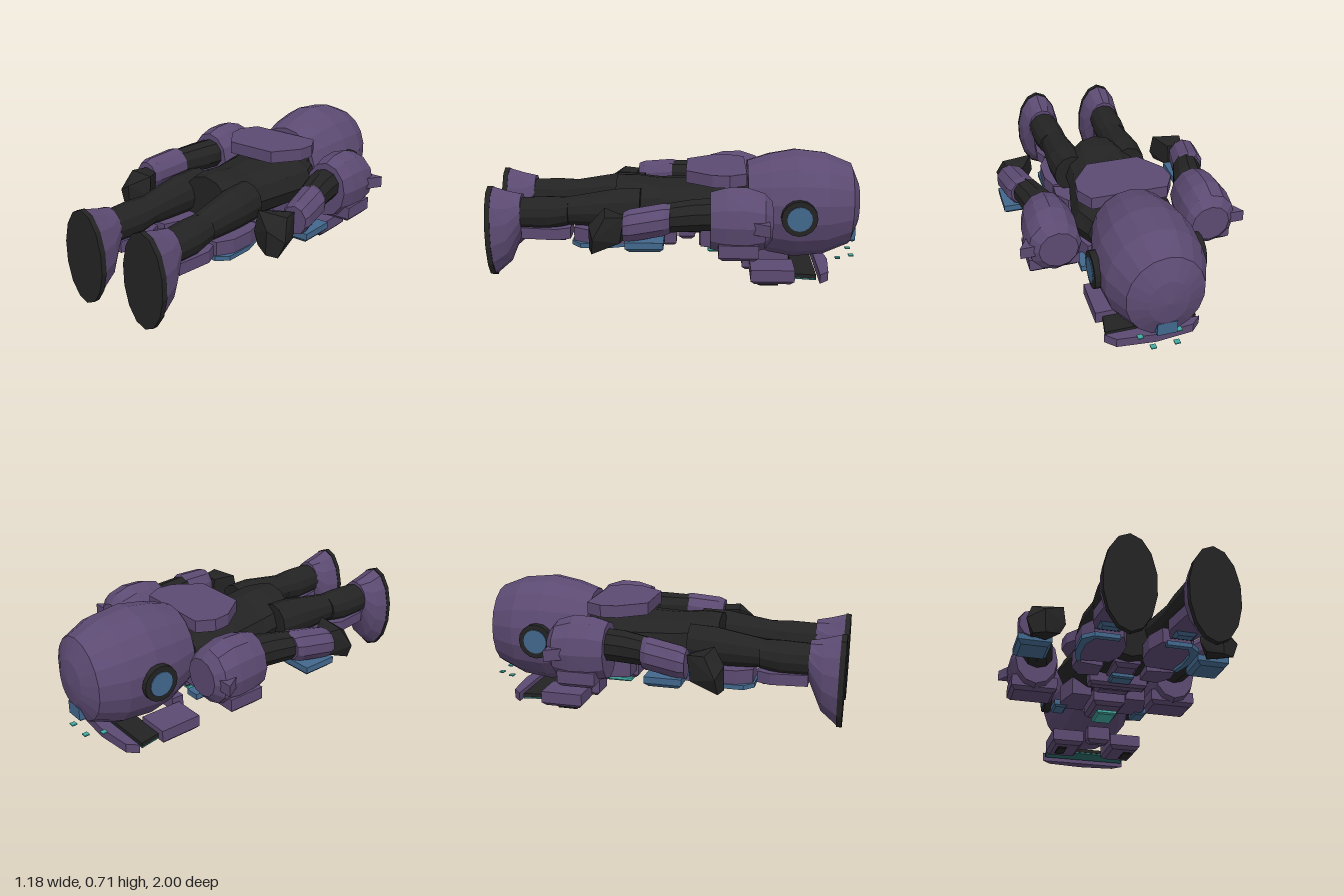
import * as THREE from 'three';
import { ConvexGeometry } from 'three/addons/geometries/ConvexGeometry.js';

function mat(name, color) {
  const m = new THREE.MeshStandardMaterial({ color, flatShading: true });
  m.name = name;
  return m;
}

export function createModel() {
  const root = new THREE.Group();
  root.name = 'armouredFigure';
  const purple = mat('purple armour', 0x5c4a72);
  const dark = mat('black suit', 0x232323);
  const blue = mat('blue trim', 0x42678c);
  const teal = mat('teal light', 0x43aaa2);
  const visorTeal = mat('dark teal visor', 0x2b6868);

  function add(name, geo, material) {
    const mesh = new THREE.Mesh(geo, material);
    mesh.name = name;
    root.add(mesh);
    return mesh;
  }

  // Elliptical sections along z, each [centreX, centreY, z, radiusX, radiusY]
  function loft(name, material, sections, sides = 12) {
    const n = sections.length - 1;
    const g = new THREE.CylinderGeometry(1, 1, 1, sides, n);
    g.rotateX(Math.PI / 2);
    const p = g.attributes.position;
    for (let i = 0; i < p.count; i++) {
      const [cx, cy, z, rx, ry] = sections[Math.round((p.getZ(i) + 0.5) * n)];
      p.setXYZ(i, cx + p.getX(i) * rx, cy + p.getY(i) * ry, z);
    }
    g.computeVertexNormals();
    return add(name, g, material);
  }

  // Outline of [x, z] points, extruded from y0 to y1
  function plate(name, material, pts, y0, y1) {
    const shape = new THREE.Shape(pts.map(([x, z]) => new THREE.Vector2(x, -z)));
    const g = new THREE.ExtrudeGeometry(shape, { depth: y1 - y0, bevelEnabled: false });
    g.rotateX(-Math.PI / 2);
    g.translate(0, y0, 0);
    return add(name, g, material);
  }

  // Block with its lower rim drawn in, for bevelled armour
  function block(name, material, x0, x1, y0, y1, z0, z1, bevel = 0.02) {
    const pts = [];
    for (const [y, b] of [[y0, bevel], [y0 + bevel, 0], [y1, 0]])
      for (const x of [x0 + b, x1 - b])
        for (const z of [z0 + b, z1 - b]) pts.push(new THREE.Vector3(x, y, z));
    return add(name, new ConvexGeometry(pts), material);
  }

  // Head and neck
  loft('head', purple, [
    [0, 0.41, -1.0, 0.001, 0.001], [0, 0.41, -0.985, 0.1, 0.12], [0, 0.41, -0.94, 0.195, 0.225],
    [0, 0.41, -0.8, 0.255, 0.282], [0, 0.41, -0.64, 0.265, 0.3], [0, 0.41, -0.5, 0.24, 0.275],
    [0, 0.42, -0.38, 0.205, 0.225]], 18);
  loft('neck', dark, [[0, 0.41, -0.42, 0.19, 0.18], [0, 0.41, -0.3, 0.19, 0.15]]);
  block('foreheadCrest', blue, -0.05, 0.05, 0.2, 0.28, -0.98, -0.92, 0.01);

  // Torso and back plate
  loft('torso', dark, [
    [0, 0.4, -0.37, 0.22, 0.14], [0, 0.4, -0.26, 0.275, 0.155], [0, 0.4, -0.1, 0.245, 0.15],
    [0, 0.4, 0.1, 0.205, 0.145], [0, 0.41, 0.22, 0.2, 0.15], [0, 0.41, 0.33, 0.155, 0.148]]);
  plate('backPlate', purple, [[-0.2, -0.37], [0.2, -0.37], [0.25, -0.28], [0.24, -0.19],
    [0.14, -0.05], [-0.14, -0.05], [-0.24, -0.19], [-0.25, -0.28]], 0.555, 0.62);

  // Centre of the chest, belly and belt
  block('chestCentre', purple, -0.09, 0.09, 0.17, 0.28, -0.36, -0.12);
  block('chestLight', teal, -0.055, 0.055, 0.133, 0.155, -0.32, -0.17, 0.008);
  block('bellyPlate', purple, -0.1, 0.1, 0.22, 0.3, -0.1, -0.01);
  block('belt', purple, -0.16, 0.16, 0.205, 0.29, 0.0, 0.075, 0.015);
  block('buckle', blue, -0.06, 0.06, 0.21, 0.235, 0.08, 0.165, 0.008);
  block('crotchPlate', purple, -0.07, 0.07, 0.235, 0.3, 0.08, 0.26);

  // Face mask: brow, visor and chin
  plate('brow', purple, [[-0.25, -0.77], [-0.2, -0.82], [0, -0.84], [0.2, -0.82], [0.25, -0.77]], 0.03, 0.08);
  plate('visorBacking', dark, [[-0.24, -0.75], [0.24, -0.75], [0.22, -0.63], [-0.22, -0.63]], 0.055, 0.075);
  plate('visor', visorTeal, [[-0.24, -0.75], [0.24, -0.75], [0.22, -0.63], [-0.22, -0.63]], 0.046, 0.054);
  block('chin', purple, -0.065, 0.065, 0.03, 0.125, -0.43, -0.36);

  for (const s of [1, -1]) {
    const side = s > 0 ? 'left' : 'right';
    const sLoft = (name, m, sec, n) => loft(side + name, m, sec.map(([x, ...r]) => [x * s, ...r]), n);
    const sPlate = (name, m, pts, y0, y1) => plate(side + name, m, pts.map(([x, z]) => [x * s, z]), y0, y1);
    const sBlock = (name, m, x0, x1, ...r) =>
      block(side + name, m, Math.min(x0 * s, x1 * s), Math.max(x0 * s, x1 * s), ...r);

    // Ear discs
    for (const [name, m, r, x] of [['EarRing', dark, 0.095, 0.263], ['EarDisc', blue, 0.066, 0.268]]) {
      const g = new THREE.CylinderGeometry(r, r, 0.04, 16);
      g.rotateZ(Math.PI / 2);
      add(side + name, g, m).position.set(x * s, 0.4, -0.645);
    }

    // Cheeks and small lamps
    sBlock('Cheek', purple, 0.08, 0.258, 0.02, 0.105, -0.635, -0.4);
    sBlock('CheekVent', dark, 0.17, 0.22, 0.004, 0.012, -0.55, -0.44, 0.002);
    for (const [x, z] of [[0.06, -0.96], [0.1, -0.88]])
      sBlock('Lamp', teal, x - 0.014, x + 0.014, 0.122, 0.13, z - 0.014, z + 0.014, 0.002);

    // Chest plate and collar clip
    sPlate('ChestPlate', purple, [[0.1, -0.36], [0.22, -0.36], [0.25, -0.28], [0.21, -0.13], [0.1, -0.13]], 0.22, 0.32);
    sBlock('CollarClip', blue, 0.2, 0.275, 0.21, 0.25, -0.43, -0.31, 0.01);

    // Shoulder, with guard and fin
    sLoft('Shoulder', purple, [
      [0.4, 0.43, -0.49, 0.1, 0.1], [0.41, 0.43, -0.45, 0.135, 0.145], [0.41, 0.43, -0.36, 0.142, 0.175],
      [0.41, 0.43, -0.26, 0.135, 0.172], [0.41, 0.43, -0.18, 0.12, 0.15]]);
    sPlate('ShoulderFin', purple, [[0.42, -0.47], [0.59, -0.47], [0.5, -0.32]], 0.4, 0.46);
    sBlock('ShoulderGuard', purple, 0.28, 0.54, 0.255, 0.34, -0.42, -0.22);

    // Arm and hand
    sLoft('UpperArm', dark, [[0.4, 0.46, -0.22, 0.09, 0.085], [0.42, 0.46, -0.1, 0.088, 0.085],
      [0.46, 0.455, 0.05, 0.075, 0.075]], 10);
    sLoft('Forearm', purple, [[0.465, 0.455, 0.02, 0.078, 0.075], [0.472, 0.452, 0.05, 0.09, 0.085],
      [0.505, 0.43, 0.22, 0.082, 0.085], [0.51, 0.425, 0.25, 0.07, 0.075]], 10);
    sBlock('ForearmPlate', blue, 0.4, 0.58, 0.312, 0.365, 0.05, 0.24);
    const hand = [[0.43, 0.46, 0.26], [0.51, 0.47, 0.25], [0.44, 0.33, 0.26], [0.52, 0.34, 0.27],
      [0.37, 0.48, 0.36], [0.53, 0.475, 0.34], [0.36, 0.37, 0.38], [0.39, 0.31, 0.39],
      [0.565, 0.37, 0.4], [0.53, 0.285, 0.41], [0.475, 0.42, 0.43], [0.47, 0.29, 0.43]];
    add(side + 'Hand', new ConvexGeometry(hand.map(([x, y, z]) => new THREE.Vector3(x * s, y, z))), dark);

    // Leg and boot
    sLoft('Thigh', dark, [[0.165, 0.42, 0.19, 0.1, 0.11], [0.175, 0.42, 0.33, 0.1, 0.105],
      [0.18, 0.405, 0.59, 0.077, 0.075]]);
    sLoft('Shin', dark, [[0.185, 0.405, 0.57, 0.085, 0.075], [0.19, 0.395, 0.68, 0.092, 0.09],
      [0.195, 0.395, 0.83, 0.085, 0.085]]);
    sLoft('Boot', purple, [[0.198, 0.395, 0.82, 0.085, 0.105], [0.2, 0.32, 0.89, 0.115, 0.195],
      [0.2, 0.295, 0.975, 0.127, 0.245]], 14);
    sLoft('Sole', dark, [[0.2, 0.293, 0.972, 0.129, 0.25], [0.2, 0.293, 1.0, 0.127, 0.25]], 14);

    // Hip, thigh, knee and shin armour
    sPlate('HipPlate', purple, [[0.12, 0.08], [0.22, 0.06], [0.275, 0.14], [0.27, 0.22], [0.12, 0.2]], 0.25, 0.33);
    sPlate('ThighPlate', purple, [[0.1, 0.24], [0.27, 0.23], [0.3, 0.33], [0.295, 0.46],
      [0.25, 0.54], [0.1, 0.54], [0.06, 0.44], [0.06, 0.32]], 0.255, 0.335);
    sPlate('ThighTrim', blue, [[0.25, 0.25], [0.275, 0.25], [0.305, 0.35], [0.305, 0.5],
      [0.25, 0.55], [0.12, 0.55], [0.12, 0.52], [0.24, 0.52], [0.27, 0.45], [0.27, 0.34]], 0.238, 0.262);
    sBlock('KneeTrim', blue, 0.13, 0.25, 0.255, 0.3, 0.57, 0.65);
    sPlate('ShinPlate', purple, [[0.13, 0.56], [0.25, 0.56], [0.28, 0.63], [0.26, 0.82],
      [0.13, 0.82], [0.1, 0.63]], 0.27, 0.33);
  }
  return root;
}
